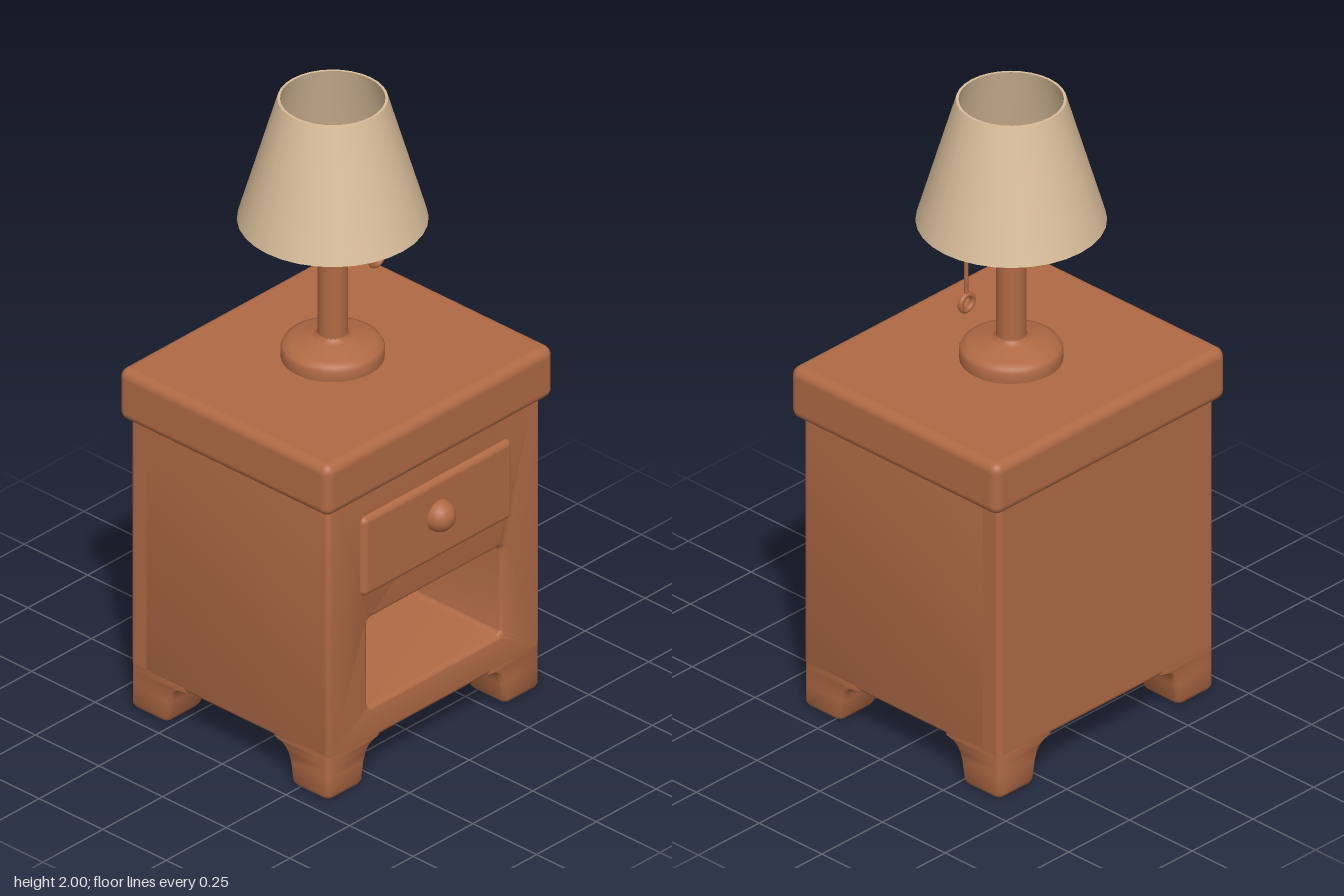
import * as THREE from 'three';
import { toCreasedNormals } from 'three/addons/utils/BufferGeometryUtils.js';
import { RoundedBoxGeometry } from 'three/addons/geometries/RoundedBoxGeometry.js';

const wood = new THREE.MeshStandardMaterial({ color: 0xb06a45 });
wood.name = 'wood';
const fabric = new THREE.MeshStandardMaterial({ color: 0xd9bd9a, side: THREE.DoubleSide });
fabric.name = 'lampshade fabric';

// Cabinet extents
const X0 = -0.45, X1 = 0.435, Z0 = -0.41, Z1 = 0.37;
const CX = (X0 + X1) / 2, LAMP_X = -0.005, LAMP_Z = -0.032;

function part(parent, name, geometry, material, x = 0, y = 0, z = 0) {
  const mesh = new THREE.Mesh(geometry, material);
  mesh.name = name;
  mesh.position.set(x, y, z);
  parent.add(mesh);
  return mesh;
}

function roundedRect(target, x0, y0, x1, y1, r) {
  target.moveTo(x0 + r, y0);
  target.lineTo(x1 - r, y0);
  target.absarc(x1 - r, y0 + r, r, -Math.PI / 2, 0);
  target.lineTo(x1, y1 - r);
  target.absarc(x1 - r, y1 - r, r, 0, Math.PI / 2);
  target.lineTo(x0 + r, y1);
  target.absarc(x0 + r, y1 - r, r, Math.PI / 2, Math.PI);
  target.lineTo(x0, y0 + r);
  target.absarc(x0 + r, y0 + r, r, Math.PI, Math.PI * 1.5);
  return target;
}

// Front-to-back shell with the open shelf cut through it
function shellGeometry() {
  const b = 0.015;
  const shape = roundedRect(new THREE.Shape(), X0 + b, 0.138 + b, X1 - b, 1.03, 0.005);
  shape.holes.push(roundedRect(new THREE.Path(), -0.3, 0.235, 0.29, 0.56, 0.03));
  const back = Z0 + 0.05;
  const geo = new THREE.ExtrudeGeometry(shape, {
    depth: Z1 - back - 2 * b, bevelSize: b, bevelThickness: b, bevelSegments: 4, curveSegments: 5,
  });
  geo.translate(0, 0, back + b);
  return toCreasedNormals(geo, 0.6);
}

// Rounded square leg: outer sides straight, inner sides flare into the underside
function legGeometry(sx, sz) {
  // rows from the floor up: height, width, inset of the outer sides
  const rows = [
    [0.005, 0.125, 0.015], [0.011, 0.141, 0.005], [0.022, 0.148, 0], [0.08, 0.158, 0],
    [0.105, 0.166, 0], [0.122, 0.178, 0], [0.134, 0.197, 0], [0.14, 0.222, 0], [0.16, 0.225, 0],
  ];
  const n = rows.length - 1, r = 0.018;
  const geo = new THREE.CylinderGeometry(1, 1, 1, 16, n, false, Math.PI / 16);
  const p = geo.attributes.position;
  for (let i = 0; i < p.count; i++) {
    const [y, width, inset] = rows[Math.round((p.getY(i) + 0.5) * n)];
    const half = (width - inset) / 2;
    const square = (v) => (Math.abs(v) < 1e-6 ? 0 : Math.sign(v) * (half - r) + v * r);
    const outerX = sx > 0 ? X1 : X0, outerZ = sz > 0 ? Z1 : Z0;
    p.setXYZ(i,
      outerX - sx * (inset + half) + square(p.getX(i)), y,
      outerZ - sz * (inset + half) + square(p.getZ(i)));
  }
  return toCreasedNormals(geo, 0.9);
}

function lathe(points, segments, crease) {
  const geo = new THREE.LatheGeometry(points.map(([x, y]) => new THREE.Vector2(x, y)), segments);
  return crease ? toCreasedNormals(geo, crease) : geo;
}

function createNightstand() {
  const g = new THREE.Group();
  g.name = 'nightstand';
  const depthMid = (Z0 + Z1) / 2;
  part(g, 'cabinetShell', shellGeometry(), wood);
  part(g, 'cabinetBack', new RoundedBoxGeometry(X1 - X0, 0.89, 0.1, 4, 0.018), wood, CX, 0.583, Z0 + 0.05);
  part(g, 'tabletop', new RoundedBoxGeometry(0.95, 0.17, 0.828, 5, 0.03), wood, -0.003, 1.055, depthMid - 0.001);
  for (const sx of [-1, 1]) {
    for (const sz of [-1, 1]) {
      part(g, (sz > 0 ? 'front' : 'back') + (sx > 0 ? 'Left' : 'Right') + 'Leg', legGeometry(sx, sz), wood);
    }
  }
  part(g, 'drawerFront', new RoundedBoxGeometry(0.625, 0.264, 0.08, 4, 0.02), wood, -0.006, 0.766, 0.346);
  part(g, 'drawerKnob', new THREE.SphereGeometry(0.049, 20, 14), wood, -0.006, 0.78, 0.388);
  return g;
}

function createLamp() {
  const g = new THREE.Group();
  g.name = 'tableLamp';
  g.position.set(LAMP_X, 0, LAMP_Z);
  // Foot with a gently sloping top
  part(g, 'lampFoot', lathe([
    [0, 1.13], [0.148, 1.13], [0.15, 1.145], [0.15, 1.172], [0.145, 1.184],
    [0.125, 1.193], [0.06, 1.208], [0.045, 1.215], [0.042, 1.23],
  ], 32, 1.0), wood);
  part(g, 'lampPole', new THREE.CylinderGeometry(0.044, 0.044, 0.55, 20), wood, 0, 1.455, 0);
  part(g, 'lampBulb', new THREE.SphereGeometry(0.056, 20, 14), wood, 0, 1.75, 0);
  // Thin open cone with visible rims
  part(g, 'lampshade', lathe([
    [0.268, 1.6], [0.275, 1.6], [0.159, 2], [0.151, 2], [0.268, 1.6],
  ], 32, 0.8), fabric);
  // Pull cord with its ring
  part(g, 'pullCord', new THREE.CylinderGeometry(0.006, 0.006, 0.32, 8), wood, 0.177, 1.58, 0.008);
  part(g, 'pullRing', new THREE.TorusGeometry(0.025, 0.009, 10, 24), wood, 0.175, 1.395, 0.008);
  return g;
}

export function createModel() {
  const model = new THREE.Group();
  model.name = 'nightstandWithLamp';
  model.add(createNightstand(), createLamp());
  return model;
}
